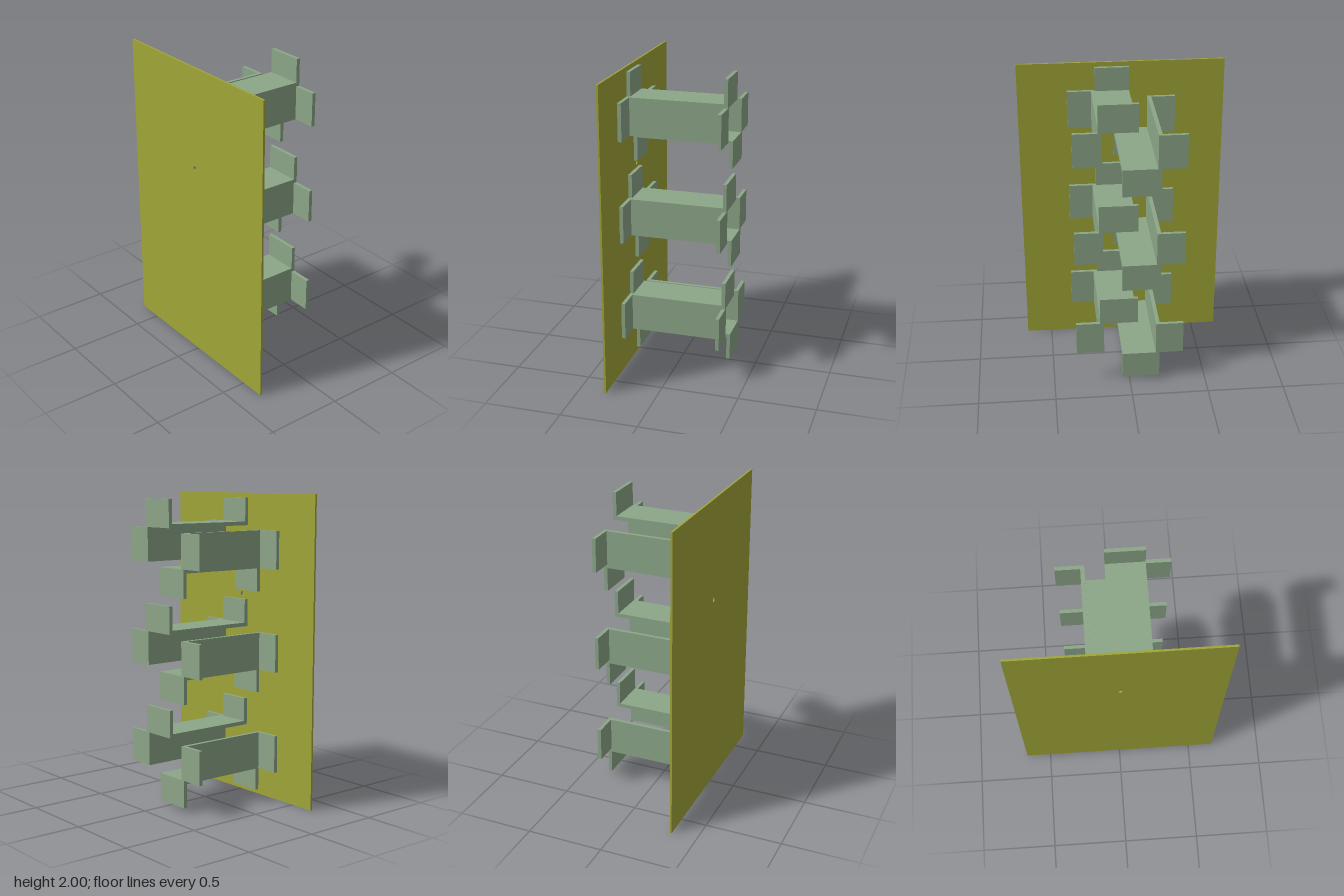
import * as THREE from 'three';

const plateMat = new THREE.MeshStandardMaterial({ color: 0xa0a638 });
const bracketMat = new THREE.MeshStandardMaterial({ color: 0x8ca688 });

// Box given by its limits on each axis
function slab(name, [x0, x1], [y0, y1], [z0, z1]) {
  const geo = new THREE.BoxGeometry(x1 - x0, y1 - y0, z1 - z0);
  geo.translate((x0 + x1) / 2, (y0 + y1) / 2, (z0 + z1) / 2);
  const mesh = new THREE.Mesh(geo, bracketMat);
  mesh.name = name;
  return mesh;
}

// Angle bracket: two legs in an L, each with a bent tab at both ends.
// Heights are measured from the middle of its row.
function createBracket(name) {
  const bracket = new THREE.Group();
  bracket.name = name;
  const length = [-0.333, 0.32], back = [-0.333, -0.309], front = [0.296, 0.32];
  bracket.add(
    slab('flatLeg', [-0.05, 0.195], [0.123, 0.148], length),
    slab('uprightLeg', [0.17, 0.195], [-0.097, 0.123], length),
    slab('backFlatTab', [-0.05, 0.195], [0.148, 0.303], back),
    slab('frontFlatTab', [-0.05, 0.17], [0.148, 0.303], front),
    slab('backSideTab', [0.195, 0.35], [-0.097, 0.123], back),
    slab('frontSideTab', [0.195, 0.35], [-0.097, 0.148], front)
  );
  return bracket;
}

export function createModel() {
  const model = new THREE.Group();
  model.name = 'panelWithBrackets';

  // Thin front panel with a small round hole
  const outline = new THREE.Shape();
  outline.moveTo(-0.667, 0).lineTo(0.667, 0).lineTo(0.667, 2).lineTo(-0.667, 2).closePath();
  const hole = new THREE.Path();
  hole.absarc(0, 1.335, 0.016, 0, Math.PI * 2, true);
  outline.holes.push(hole);
  const panelGeo = new THREE.ExtrudeGeometry(outline, { depth: 0.013, bevelEnabled: false, curveSegments: 24 });
  panelGeo.translate(0, 0, 0.32);
  const panel = new THREE.Mesh(panelGeo, plateMat);
  panel.name = 'frontPanel';
  model.add(panel);

  // Three rows, each with a bracket and its half-turned partner
  for (let i = 0; i < 3; i++) {
    const row = new THREE.Group();
    row.name = 'bracketRow' + (i + 1);
    row.position.y = (2 * i + 1) / 3;
    const lower = createBracket('lowerBracket');
    lower.rotation.z = Math.PI;
    row.add(createBracket('upperBracket'), lower);
    model.add(row);
  }
  return model;
}
